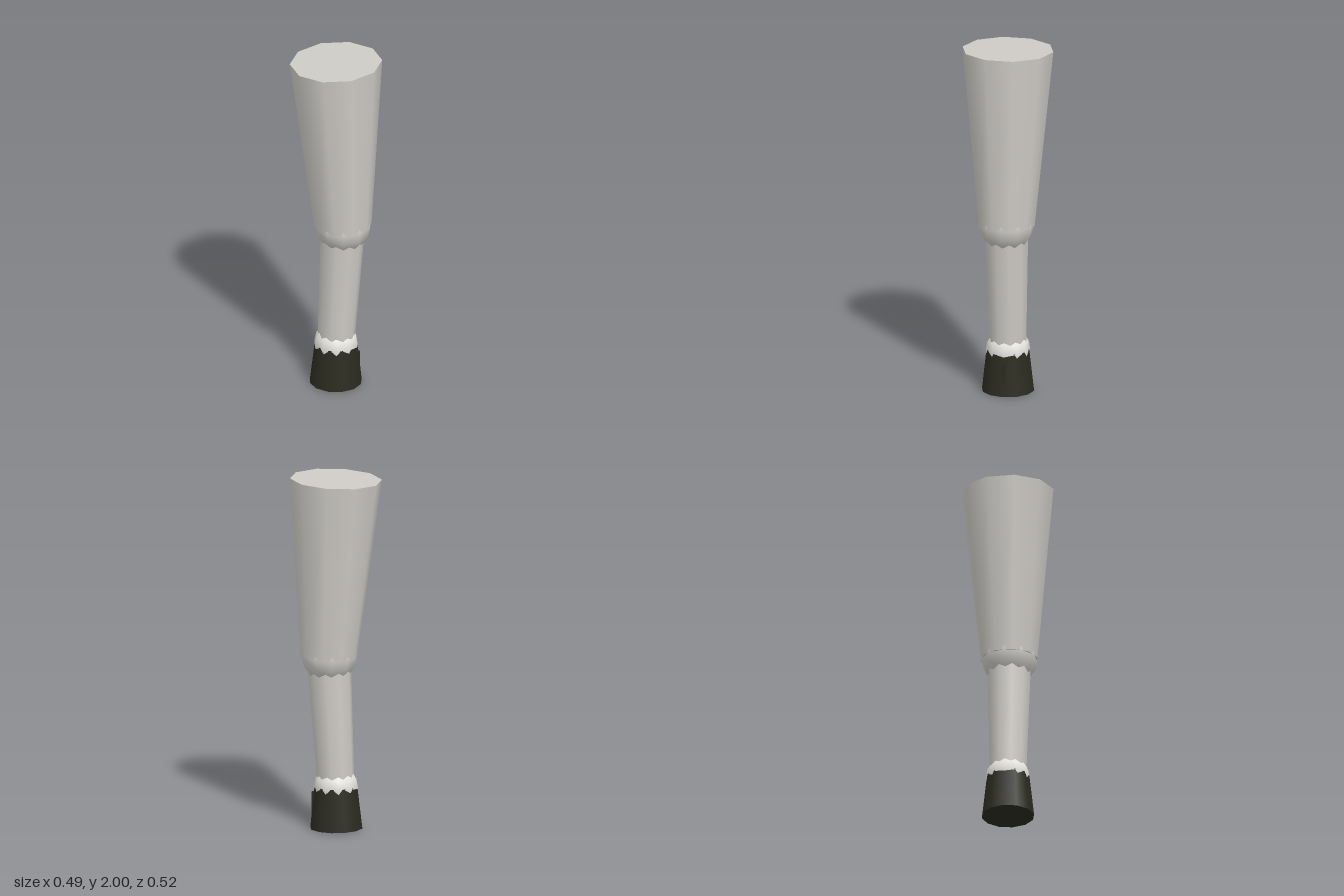
import * as THREE from 'three';

// Tapered limb section running between two points
function limb(name, bottom, top, rBottom, rTop, sides, material) {
  const a = new THREE.Vector3(...bottom);
  const b = new THREE.Vector3(...top);
  const axis = b.clone().sub(a);
  const mesh = new THREE.Mesh(
    new THREE.CylinderGeometry(rTop, rBottom, axis.length(), sides), material);
  mesh.position.copy(a).add(b).multiplyScalar(0.5);
  mesh.quaternion.setFromUnitVectors(new THREE.Vector3(0, 1, 0), axis.normalize());
  mesh.name = name;
  return mesh;
}

// Rounded joint between two sections
function joint(name, x, y, radius, material) {
  const mesh = new THREE.Mesh(new THREE.SphereGeometry(radius, 10, 8), material);
  mesh.position.set(x, y, 0);
  mesh.name = name;
  return mesh;
}

export function createModel() {
  const coat = new THREE.MeshStandardMaterial({ color: 0xcfccc7 });
  coat.name = 'grey coat';
  const pale = new THREE.MeshStandardMaterial({ color: 0xe8e7e1 });
  pale.name = 'pale fetlock';
  const horn = new THREE.MeshStandardMaterial({ color: 0x2b2b20 });
  horn.name = 'dark hoof';

  const leg = new THREE.Group();
  leg.name = 'hoofedLeg';

  // Upper leg, knee, lower leg and fetlock
  leg.add(
    limb('upperLeg', [0.04, 0.98, 0], [0, 1.99, 0], 0.16, 0.258, 10, coat),
    joint('knee', 0.04, 0.985, 0.158, coat),
    limb('lowerLeg', [0, 0.24, 0], [0.041, 0.985, 0], 0.103, 0.124, 10, coat),
    joint('fetlock', 0, 0.235, 0.125, pale),
  );

  // Flared hoof with a small raised ridge on its left side
  leg.add(limb('hoof', [-0.002, 0, 0], [0, 0.24, 0], 0.148, 0.121, 12, horn));
  const ridge = new THREE.Mesh(new THREE.BoxGeometry(0.03, 0.18, 0.024), horn);
  ridge.position.set(0.122, 0.11, 0);
  ridge.name = 'hoofRidge';
  leg.add(ridge);

  return leg;
}
